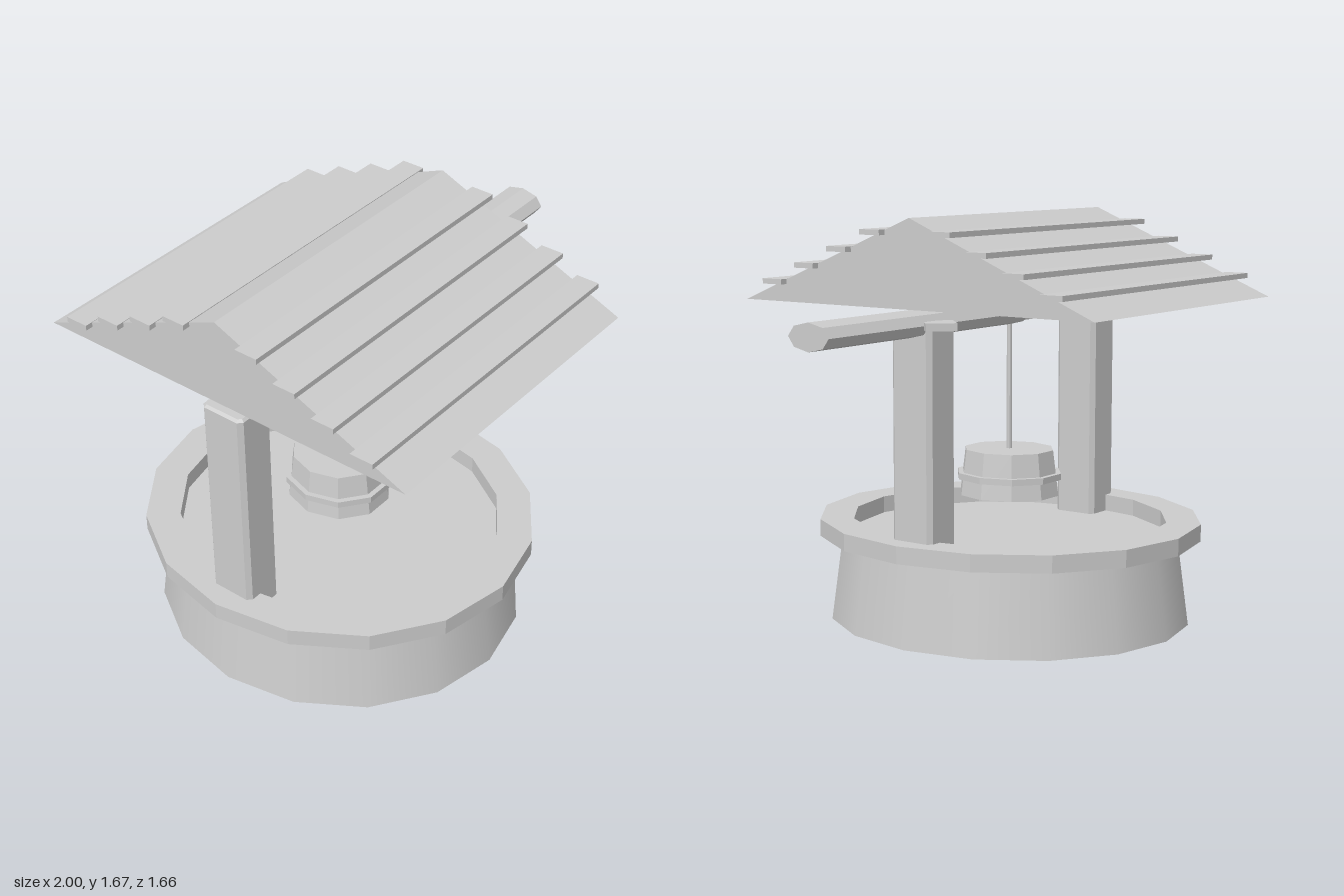
import * as THREE from 'three';

const CX = -0.247;      // well axis
const DEPTH = 1.07;     // round parts are slightly longer in z
const grey = new THREE.MeshStandardMaterial({ color: 0xcccccc });
grey.name = 'plain grey';

function flat(geometry) {
  const g = geometry.index ? geometry.toNonIndexed() : geometry;
  g.computeVertexNormals();
  return g;
}

export function createModel() {
  const model = new THREE.Group();

  function add(name, geometry, x = 0, y = 0, z = 0) {
    const mesh = new THREE.Mesh(geometry, grey);
    mesh.name = name;
    mesh.position.set(x, y, z);
    model.add(mesh);
    return mesh;
  }
  const box = (name, w, h, d, x, y, z) => add(name, new THREE.BoxGeometry(w, h, d), x, y, z);

  // Tapered round wall with a closed top that forms the floor inside the rim
  const wall = new THREE.CylinderGeometry(0.665, 0.71, 0.35, 16);
  add('wellWall', wall.scale(1, 1, DEPTH), CX, 0.175, 0);

  // Sixteen-sided rim ring
  const ring = (r) => Array.from({ length: 16 }, (_, i) => {
    const a = (i / 16) * Math.PI * 2;
    return new THREE.Vector2(r * Math.cos(a), r * DEPTH * Math.sin(a));
  });
  const rimShape = new THREE.Shape(ring(0.753));
  rimShape.holes.push(new THREE.Path(ring(0.62)));
  const rim = new THREE.ExtrudeGeometry(rimShape, { depth: 0.07, bevelEnabled: false });
  add('wellRim', flat(rim.rotateX(-Math.PI / 2)), CX, 0.35, 0);

  // Posts with chamfered edges
  const c = 0.012, hw = 0.075, hd = 0.085;
  const postShape = new THREE.Shape([
    [hw, -hd + c], [hw, hd - c], [hw - c, hd], [-hw + c, hd],
    [-hw, hd - c], [-hw, -hd + c], [-hw + c, -hd], [hw - c, -hd],
  ].map(([x, y]) => new THREE.Vector2(x, y)));
  for (const [name, side] of [['rightPost', -1], ['leftPost', 1]]) {
    const post = new THREE.ExtrudeGeometry(postShape, {
      depth: 0.92, bevelThickness: 0.01, bevelSize: 0.01, bevelSegments: 1,
    });
    add(name, flat(post.rotateX(-Math.PI / 2)), CX + side * 0.578, 0.345, 0);
  }

  // Cross beam, winding log and small peg behind the left post
  box('crossBeam', 1.15, 0.075, 0.1, CX, 1.267, 0);
  const log = new THREE.CylinderGeometry(1, 1, 1.25, 8).rotateZ(-Math.PI / 2);
  add('windingLog', flat(log.scale(1, 0.0535, 0.095)), 0.375, 1.266, 0);
  box('peg', 0.12, 0.03, 0.12, 0.393, 1.265, -0.125).rotation.y = Math.PI / 4;

  // Rope and ten-sided bucket with its hoop
  add('rope', flat(new THREE.CylinderGeometry(0.011, 0.011, 0.55, 8)), CX, 0.965, 0);
  const tub = (top, bottom, h) =>
    flat(new THREE.CylinderGeometry(top, bottom, h, 10, 1, false, Math.PI / 2).scale(1, 1, DEPTH));
  add('bucket', tub(0.178, 0.2, 0.188), CX, 0.606, 0);
  add('bucketHoop', tub(0.21, 0.21, 0.026), CX, 0.592, 0);

  // Gabled roof prism, extruded along x
  const gable = new THREE.Shape();
  gable.moveTo(-0.83, 0).lineTo(0.83, 0).lineTo(0, 0.347).closePath();
  const roof = new THREE.ExtrudeGeometry(gable, { depth: 1.33, bevelEnabled: false });
  add('roof', roof.translate(0, 0, -0.665).rotateY(Math.PI / 2), CX - 0.001, 1.32, 0);

  // Level slats stepping down both slopes
  for (let i = 0; i < 4; i++) {
    for (const side of [-1, 1]) {
      box('roofSlat', 1.395, 0.021, 0.097, CX, 1.61 - i * 0.07, side * (0.167 + i * 0.1663));
    }
  }
  return model;
}
